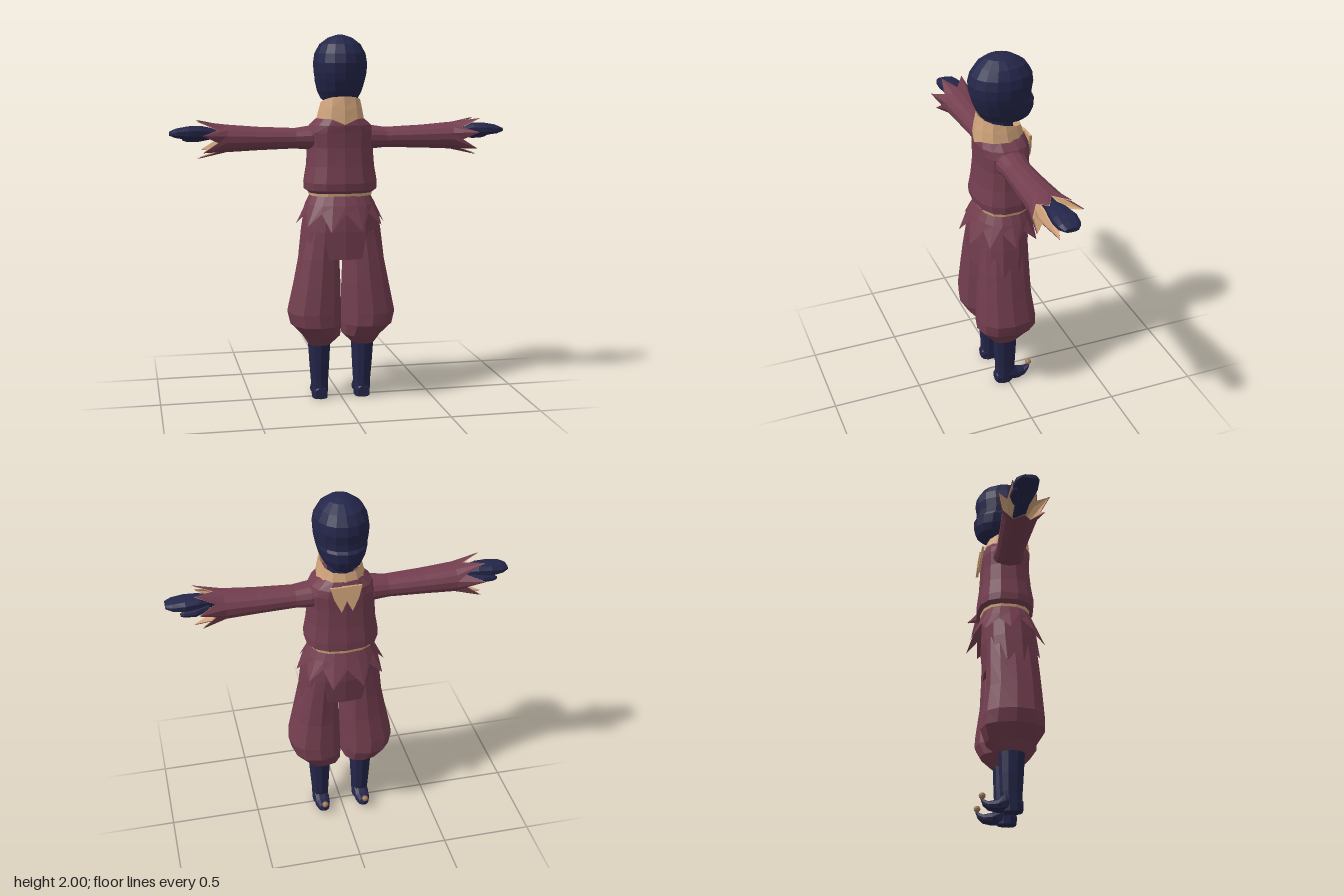
import * as THREE from 'three';

const TAU = Math.PI * 2;
const mat = (name, color, side = THREE.FrontSide) => {
  const m = new THREE.MeshStandardMaterial({ color, side, flatShading: true });
  m.name = name;
  return m;
};

// Cross-section ring. row = [t, u0, u1, v0, v1], t along the axis.
// axis y: u = x, v = z;  axis x: u = z, v = y;  axis z: u = y, v = x
const place = { y: (u, t, v) => [u, t, v], x: (u, t, v) => [t, v, u], z: (u, t, v) => [v, u, t] };
const soft = (c, p) => Math.sign(c) * Math.abs(c) ** p;
function ring(axis, [t, u0, u1, v0, v1], n, p = 0.9) {
  return Array.from({ length: n }, (_, j) => {
    const a = (j / n) * TAU;
    const u = (u0 + u1) / 2 + ((u1 - u0) / 2) * soft(Math.sin(a), p);
    const v = (v0 + v1) / 2 + ((v1 - v0) / 2) * soft(Math.cos(a), p);
    return place[axis](u, t, v);
  });
}

// Skin over rings listed in increasing t; inward flips the faces
function skin(rings, { caps = true, inward = false } = {}) {
  const n = rings[0].length;
  const pos = rings.flat();
  const idx = [];
  for (let i = 0; i < rings.length - 1; i++) {
    for (let j = 0; j < n; j++) {
      const a = i * n + j, b = i * n + ((j + 1) % n);
      idx.push(a, b, b + n, a, b + n, a + n);
    }
  }
  if (caps) {
    [0, rings.length - 1].forEach((r, end) => {
      const c = [0, 1, 2].map((k) => rings[r].reduce((s, q) => s + q[k], 0) / n);
      const ci = pos.push(c) - 1;
      for (let j = 0; j < n; j++) {
        const a = r * n + j, b = r * n + ((j + 1) % n);
        if (end) idx.push(ci, a, b); else idx.push(ci, b, a);
      }
    });
  }
  if (inward) idx.reverse();
  const g = new THREE.BufferGeometry();
  g.setAttribute('position', new THREE.Float32BufferAttribute(pos.flat(), 3));
  g.setIndex(idx);
  g.computeVertexNormals();
  return g;
}
const loft = (axis, rows, n, p, opt) => skin(rows.map((r) => ring(axis, r, n, p)), opt);

function mirrored(g) {
  const m = g.clone().scale(-1, 1, 1);
  m.setIndex([...g.index.array].reverse());
  m.computeVertexNormals();
  return m;
}

export function createModel() {
  const navy = mat('navy', 0x24264a);
  const maroon = mat('maroon cloth', 0x733e4f, THREE.DoubleSide);
  const tan = mat('tan lining', 0xd2a57c, THREE.DoubleSide);
  const brass = mat('bell brown', 0xa07a5a);
  const model = new THREE.Group();
  model.name = 'figure';
  const add = (name, geo, material) => {
    const m = new THREE.Mesh(geo, material);
    m.name = name;
    model.add(m);
    return m;
  };
  const pair = (name, geo, material) => {
    add('left ' + name, geo, material);
    add('right ' + name, mirrored(geo), material);
  };
  // Symmetric upright row: height, half width, z range
  const sym = ([y, w, z0, z1]) => [y, -w, w, z0, z1];

  // Head, face towards -z, with a step where the mouth cover begins
  add('head', loft('y', [
    [1.635, 0.065, -0.14, 0.03], [1.66, 0.1, -0.168, 0.1], [1.7, 0.12, -0.183, 0.125],
    [1.752, 0.134, -0.185, 0.148], [1.766, 0.136, -0.171, 0.152], [1.8, 0.143, -0.169, 0.16],
    [1.85, 0.146, -0.178, 0.165], [1.9, 0.138, -0.172, 0.153], [1.95, 0.112, -0.138, 0.118],
    [1.985, 0.065, -0.08, 0.07], [2, 0.02, -0.03, 0.02],
  ].map(sym), 16, 0.95), navy);
  add('neck', loft('y', [[1.5, 0.07, -0.08, 0.08], [1.68, 0.07, -0.08, 0.08]].map(sym), 8), navy);

  // Collar: pointed at the back, higher rim at the back, folded inward
  const collarRows = [[0.13, -0.145, 0.14], [0.12, -0.128, 0.132], [0.108, -0.112, 0.12], [0.095, -0.1, 0.105]];
  const collar = collarRows.map(([w, z0, z1], i) =>
    ring('y', [0, -w, w, z0, z1], 12, 0.85).map(([x, , z], j) => {
      const c = Math.cos((j / 12) * TAU);
      const bottom = 1.555 - (c > 0.9 ? 0.03 : 0) - (c < -0.4 ? 0.05 : 0);
      const top = 1.642 + 0.034 * c;
      return [x, [bottom, (bottom + top) / 2, top, top - 0.05][i], z];
    }));
  add('collar', skin(collar, { caps: false }), tan);

  // Two collar tails crossing on the chest
  for (const s of [1, -1]) {
    const tail = new THREE.Shape([[-0.02, 0.14], [0.085, 0.14], [0.065, 0.07], [0.03, 0], [0.005, 0.05]]
      .map(([x, y]) => new THREE.Vector2(x * s, y)));
    const m = add(s > 0 ? 'left collar tail' : 'right collar tail',
      new THREE.ExtrudeGeometry(tail, { depth: 0.014, bevelEnabled: false }), tan);
    m.position.set(0, 1.41, -0.162 - (s > 0 ? 0.006 : 0));
    m.rotation.x = 0.12;
  }

  // Tunic
  add('tunic', loft('y', [
    [1.15, 0.17, -0.14, 0.125], [1.17, 0.198, -0.165, 0.15], [1.21, 0.2, -0.163, 0.155],
    [1.3, 0.185, -0.152, 0.14], [1.4, 0.178, -0.146, 0.13], [1.48, 0.185, -0.146, 0.132],
    [1.52, 0.165, -0.143, 0.135], [1.565, 0.115, -0.125, 0.125],
  ].map(sym), 14, 0.8), maroon);
  add('belt', loft('y', [[1.138, 0.172, -0.143, 0.128], [1.154, 0.174, -0.144, 0.13]].map(sym), 14, 0.8), tan);

  // Ragged skirt with ten points
  const hem = ring('y', [1.05, -0.207, 0.207, -0.175, 0.17], 20).map(([x, y, z], j) =>
    j % 2 ? [x * 1.19, 0.955 + (Math.abs(x) > 0.15 ? 0.025 : 0), z * 1.26] : [x, y, z]);
  add('skirt', skin([hem,
    ring('y', [1.09, -0.193, 0.193, -0.158, 0.155], 20),
    ring('y', [1.145, -0.165, 0.165, -0.135, 0.125], 20)], { caps: false }), maroon);

  // Baggy trousers
  add('trouser seat', loft('y', [
    [0.8, 0.236, -0.122, 0.165], [0.95, 0.218, -0.138, 0.165],
    [1.06, 0.2, -0.135, 0.155], [1.14, 0.16, -0.13, 0.12],
  ].map(sym), 14, 0.8), maroon);
  pair('trouser leg', loft('y', [
    [0.31, 0.06, 0.185, -0.06, 0.09], [0.365, 0.005, 0.22, -0.125, 0.145], [0.43, 0, 0.283, -0.152, 0.187],
    [0.5, 0, 0.3, -0.146, 0.187], [0.65, 0.004, 0.267, -0.126, 0.177],
    [0.8, 0.012, 0.236, -0.121, 0.165], [0.95, 0.02, 0.2, -0.12, 0.15],
  ], 12, 0.85), maroon);

  // Boots with curled toes and bells
  pair('boot shaft', loft('y', [
    [0, 0.077, 0.163, -0.03, 0.07], [0.1, 0.073, 0.168, -0.046, 0.07],
    [0.2, 0.067, 0.176, -0.05, 0.077], [0.34, 0.06, 0.185, -0.055, 0.085],
  ], 10, 0.85), navy);
  pair('boot toe', loft('z', [
    [-0.143, 0.06, 0.068, 0.114, 0.126], [-0.132, 0.03, 0.064, 0.106, 0.134], [-0.105, 0.008, 0.052, 0.09, 0.15],
    [-0.06, 0, 0.062, 0.077, 0.163], [-0.02, 0, 0.1, 0.075, 0.165], [0.04, 0, 0.09, 0.077, 0.163], [0.07, 0, 0.06, 0.088, 0.152],
  ], 10, 0.8), navy);
  for (const s of [1, -1]) {
    add(s > 0 ? 'left bell' : 'right bell', new THREE.IcosahedronGeometry(0.018, 1), brass)
      .position.set(0.12 * s, 0.082, -0.136);
  }

  // Flared sleeves with seven ragged points and a lining
  const cuffRing = (k) => ring('x', [0.67, -0.108 * k, 0.096 * k, 1.456 - 0.082 * k, 1.456 + 0.075 * k], 14, 1);
  const edge = (k) => cuffRing(k).map(([x, y, z], j) =>
    j % 2 ? [0.76 + 0.02 * Math.sin(j * 2), 1.456 + (y - 1.456) * 1.38, z * 1.36] : [x, y, z]);
  const rows = [
    [0.08, -0.09, 0.08, 1.38, 1.53], [0.17, -0.092, 0.08, 1.385, 1.515], [0.25, -0.083, 0.07, 1.392, 1.503],
    [0.45, -0.092, 0.08, 1.386, 1.512], [0.62, -0.102, 0.09, 1.378, 1.526],
  ];
  pair('sleeve', skin([...rows.map((r) => ring('x', r, 14, 0.95)), edge(1)], { caps: false }), maroon);
  pair('sleeve lining', skin([
    ring('x', [0.5, -0.06, 0.05, 1.41, 1.5], 14, 1),
    ring('x', [0.62, -0.096, 0.084, 1.384, 1.52], 14, 1), edge(0.96)], { caps: false, inward: true }), tan);

  // Hands
  pair('hand', loft('x', [
    [0.5, -0.035, 0.025, 1.45, 1.5], [0.68, -0.042, 0.032, 1.448, 1.505], [0.75, -0.062, 0.046, 1.445, 1.52],
    [0.82, -0.075, 0.056, 1.447, 1.519], [0.885, -0.066, 0.053, 1.457, 1.508], [0.92, -0.04, 0.035, 1.47, 1.492],
  ], 10, 0.85), navy);
  pair('thumb', loft('x', [
    [0.7, -0.06, -0.02, 1.445, 1.48], [0.77, -0.084, -0.035, 1.43, 1.472], [0.83, -0.08, -0.045, 1.433, 1.465], [0.85, -0.07, -0.053, 1.44, 1.455],
  ], 8, 0.9), navy);

  return model;
}
